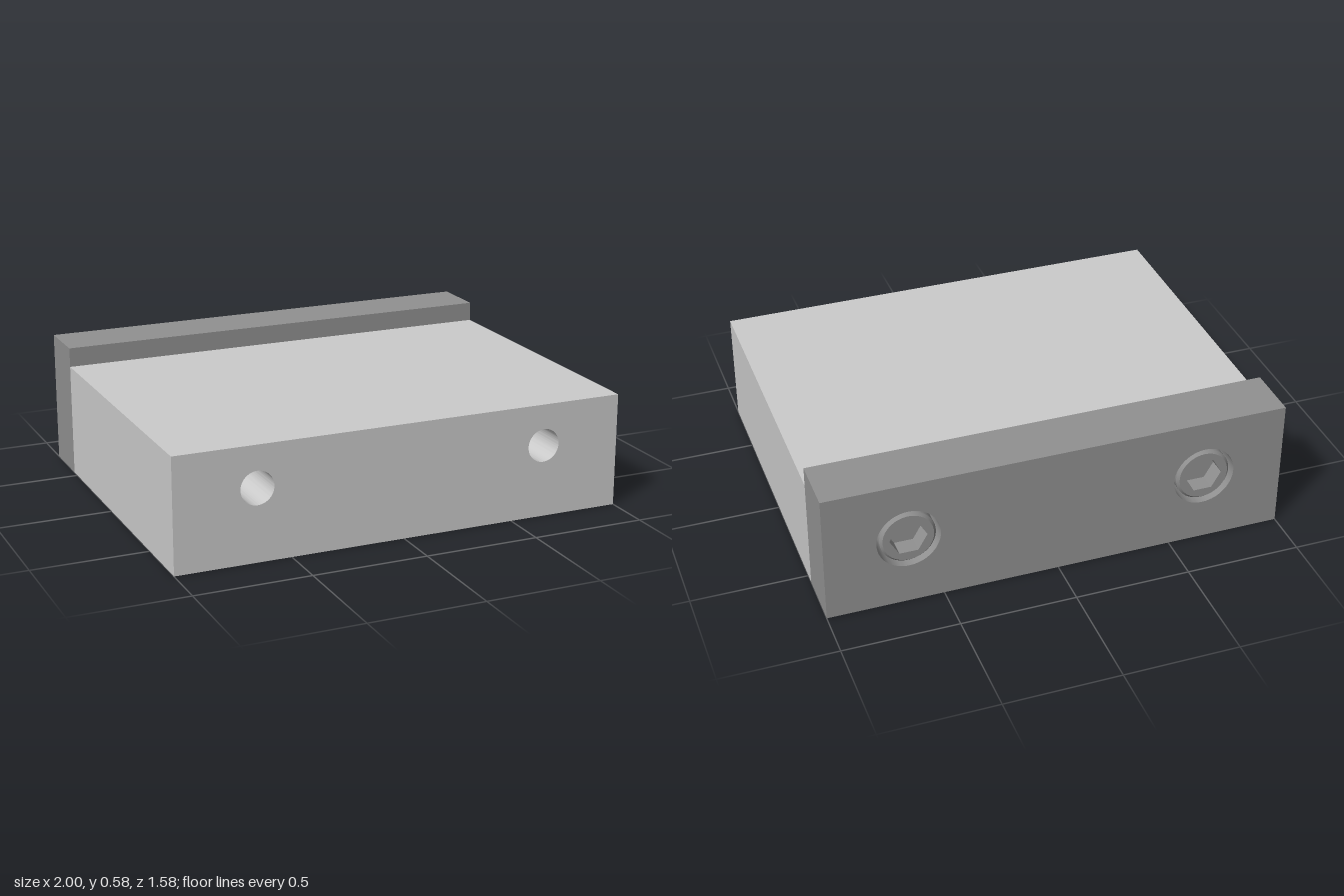
import * as THREE from 'three';
import { toCreasedNormals } from 'three/addons/utils/BufferGeometryUtils.js';

const BACK = -0.79, JOINT = -0.545, FRONT = 0.79;
const HOLE_X = 0.645, HOLE_Y = 0.315;
const BORE_R = 0.135, BORE_DEPTH = 0.15, HOLE_R = 0.072;

const light = new THREE.MeshStandardMaterial({ color: 0xcccccc });
const dark = new THREE.MeshStandardMaterial({ color: 0x919191 });

function mesh(name, geometry, material) {
  const m = new THREE.Mesh(geometry, material);
  m.name = name;
  return m;
}

// Full-width slab between two z values, pierced by the two bolt holes
function drilledSlab(height, z0, z1, radius) {
  const shape = new THREE.Shape([
    new THREE.Vector2(-1, 0), new THREE.Vector2(1, 0),
    new THREE.Vector2(1, height), new THREE.Vector2(-1, height),
  ]);
  for (const side of [-1, 1]) {
    shape.holes.push(new THREE.Path().absarc(side * HOLE_X, HOLE_Y, radius, 0, Math.PI * 2, true));
  }
  const g = new THREE.ExtrudeGeometry(shape, { depth: z1 - z0, bevelEnabled: false, curveSegments: 48 });
  g.translate(0, 0, z0);
  return toCreasedNormals(g, 0.5);
}

// Socket-head screw, head facing +z with its face at z = 0
function createScrew() {
  const screw = new THREE.Group();
  const headR = 0.119, rimR = 0.108, hexR = 0.08, socketDepth = 0.075, length = 0.64;

  // Shank and head, turned as one profile
  const profile = [
    [0, -length], [HOLE_R - 0.012, -length], [HOLE_R, -length + 0.012], [HOLE_R, -0.145],
    [headR, -0.145], [headR, -0.012], [rimR, 0],
  ].map(([r, y]) => new THREE.Vector2(r, y));
  const body = new THREE.LatheGeometry(profile, 48).rotateX(Math.PI / 2);
  screw.add(mesh('screwBody', toCreasedNormals(body, 0.5), dark));

  // Head face with hexagonal opening
  const face = new THREE.Shape().absarc(0, 0, rimR, 0, Math.PI * 2, false);
  const hex = [];
  for (let i = 0; i < 6; i++) {
    const a = -i * Math.PI / 3;
    hex.push(new THREE.Vector2(hexR * Math.cos(a), hexR * Math.sin(a)));
  }
  face.holes.push(new THREE.Path(hex));
  screw.add(mesh('screwFace', new THREE.ShapeGeometry(face, 48), dark));

  // Socket walls and floor
  const socketMaterial = dark.clone();
  socketMaterial.side = THREE.DoubleSide;
  const walls = new THREE.CylinderGeometry(hexR, hexR, socketDepth, 6, 1, true)
    .rotateY(Math.PI / 2).rotateX(Math.PI / 2).translate(0, 0, -socketDepth / 2);
  screw.add(mesh('socketWalls', toCreasedNormals(walls, 0.5), socketMaterial));
  const floor = new THREE.CircleGeometry(hexR, 6).translate(0, 0, -socketDepth);
  screw.add(mesh('socketFloor', floor, dark));
  return screw;
}

export function createModel() {
  const model = new THREE.Group();
  model.name = 'jawBlock';

  // Main block
  model.add(mesh('block', drilledSlab(0.495, JOINT, FRONT, HOLE_R), light));

  // Back plate: counterbored outer layer and narrower inner layer
  const plate = new THREE.Group();
  plate.name = 'backPlate';
  plate.add(mesh('counterboreLayer', drilledSlab(0.58, BACK, BACK + BORE_DEPTH, BORE_R), dark));
  plate.add(mesh('clearanceLayer', drilledSlab(0.58, BACK + BORE_DEPTH, JOINT, HOLE_R), dark));
  model.add(plate);

  // Screws, heads set just below the back face
  for (const side of [-1, 1]) {
    const screw = createScrew();
    screw.name = side > 0 ? 'leftScrew' : 'rightScrew';
    screw.rotation.y = Math.PI;
    screw.position.set(side * HOLE_X, HOLE_Y, BACK + 0.005);
    model.add(screw);
  }
  return model;
}
